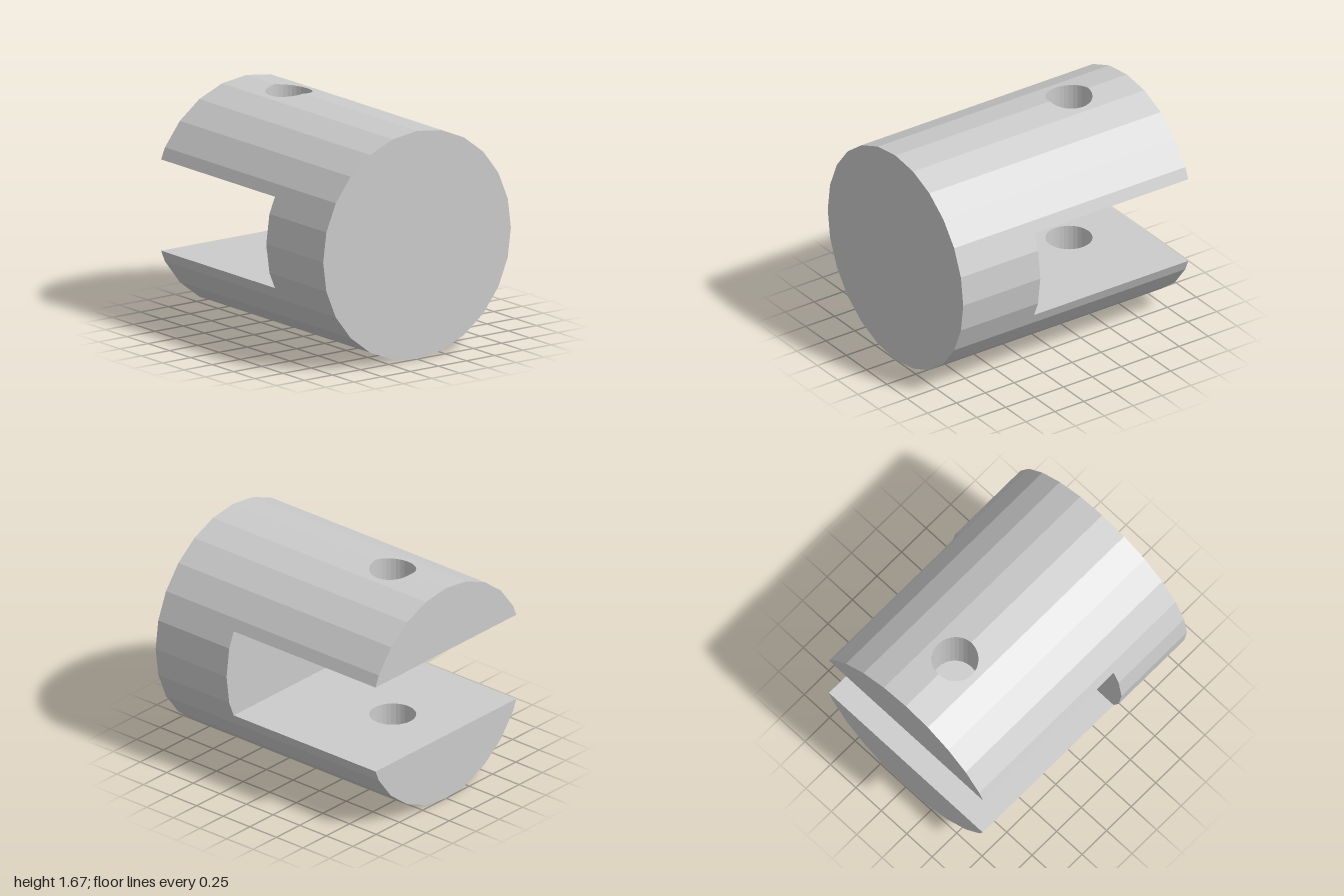
import * as THREE from 'three';
import { mergeGeometries } from 'three/addons/utils/BufferGeometryUtils.js';

const R = 5 / 6;         // radius of the 24-sided bar
const SIDES = 24;
const STEP = (Math.PI * 2) / SIDES;
const SLOT_X = 1 / 3;    // depth of the slot, measured from the tip at x = -1
const SLOT_H = 1 / 3;    // half height of the slot
const PIN_X = -0.5;      // centre of the pin hole
const PIN_R = 1 / 6;
const PIN_SEGMENTS = 32;

// Height of the faceted skin above the axis at a given z
function skinY(z) {
  const a = Math.abs(z);
  let k = 0;
  while (k < SIDES / 4 - 1 && R * Math.sin((k + 1) * STEP) < a) k++;
  const z0 = R * Math.sin(k * STEP), z1 = R * Math.sin((k + 1) * STEP);
  const t = (a - z0) / (z1 - z0);
  return R * THREE.MathUtils.lerp(Math.cos(k * STEP), Math.cos((k + 1) * STEP), t);
}

// Half width of the bar where the slot cuts its side facets
const lower = new THREE.Vector2(R * Math.cos(STEP), R * Math.sin(STEP));
const upper = new THREE.Vector2(R * Math.cos(2 * STEP), R * Math.sin(2 * STEP));
const EDGE_Z = lower.clone().lerp(upper, (SLOT_H - lower.y) / (upper.y - lower.y)).x;

// Move vertices vertically onto the skin
function liftToSkin(geometry, test = () => true) {
  const p = geometry.attributes.position;
  for (let i = 0; i < p.count; i++) {
    p.setY(i, test(p.getY(i)) ? skinY(p.getZ(i)) : SLOT_H);
  }
  geometry.computeVertexNormals();
  return geometry;
}

// One lengthwise facet of an arm; the two beside the crest are notched by the hole
function skinStrip(s0, s1) {
  const shape = new THREE.Shape();
  const crest = Math.min(Math.abs(s0), Math.abs(s1)) < 1e-6;
  const [inner, outer] = Math.abs(s0) < Math.abs(s1) ? [s0, s1] : [s1, s0];
  shape.moveTo(-1, inner);
  if (crest) {
    shape.lineTo(PIN_X - PIN_R, inner);
    if (outer > 0) shape.absarc(PIN_X, inner, PIN_R, Math.PI, 0, true);
    else shape.absarc(PIN_X, inner, PIN_R, Math.PI, Math.PI * 2, false);
  }
  shape.lineTo(SLOT_X, inner);
  shape.lineTo(SLOT_X, outer);
  shape.lineTo(-1, outer);
  return liftToSkin(new THREE.ShapeGeometry(shape, PIN_SEGMENTS / 4).rotateX(-Math.PI / 2));
}

// Flat cross-section wall facing the open tip
function tipFacing(points, x) {
  return new THREE.ShapeGeometry(new THREE.Shape(points)).rotateY(-Math.PI / 2).translate(x, 0, 0);
}

function armGeometry() {
  // Cross-section of the arm, as (z, y)
  const profile = [new THREE.Vector2(EDGE_Z, SLOT_H)];
  for (let k = 2; k <= SIDES / 2 - 2; k++) {
    profile.push(new THREE.Vector2(R * Math.cos(k * STEP), R * Math.sin(k * STEP)));
  }
  profile.push(new THREE.Vector2(-EDGE_Z, SLOT_H));

  const parts = [tipFacing(profile, -1)];
  for (let i = 0; i < profile.length - 1; i++) {
    parts.push(skinStrip(profile[i].x, profile[i + 1].x));
  }

  // Flat inner face with the full hole
  const face = new THREE.Shape([
    new THREE.Vector2(-1, -EDGE_Z), new THREE.Vector2(SLOT_X, -EDGE_Z),
    new THREE.Vector2(SLOT_X, EDGE_Z), new THREE.Vector2(-1, EDGE_Z),
  ]);
  face.holes.push(new THREE.Path().absarc(PIN_X, 0, PIN_R, 0, Math.PI * 2, true));
  parts.push(new THREE.ShapeGeometry(face, PIN_SEGMENTS / 2)
    .rotateX(Math.PI / 2).translate(0, SLOT_H, 0));

  // Hole wall, turned inside out and trimmed to the skin
  const wall = new THREE.CylinderGeometry(PIN_R, PIN_R, 1, PIN_SEGMENTS, 1, true);
  wall.scale(1, -1, 1).translate(PIN_X, 0, 0);
  parts.push(liftToSkin(wall, (y) => y > 0));
  return mergeGeometries(parts);
}

function solidEndGeometry() {
  const length = 1 - SLOT_X;
  const side = new THREE.CylinderGeometry(R, R, length, SIDES, 1, true)
    .rotateZ(Math.PI / 2).translate(SLOT_X + length / 2, 0, 0);
  const cap = new THREE.CircleGeometry(R, SIDES).rotateY(Math.PI / 2).translate(1, 0, 0);

  // Wall at the bottom of the slot
  const right = [
    new THREE.Vector2(EDGE_Z, -SLOT_H), new THREE.Vector2(lower.x, -lower.y),
    new THREE.Vector2(R, 0), lower, new THREE.Vector2(EDGE_Z, SLOT_H),
  ];
  const left = right.map((p) => new THREE.Vector2(-p.x, -p.y));
  return mergeGeometries([side, cap, tipFacing([...right, ...left], SLOT_X)]);
}

export function createModel() {
  const model = new THREE.Group();
  model.name = 'clevis';
  const material = new THREE.MeshStandardMaterial({ color: 0xcccccc, flatShading: true });

  const add = (name, geometry) => {
    const mesh = new THREE.Mesh(geometry, material);
    mesh.name = name;
    mesh.position.y = R;
    model.add(mesh);
    return mesh;
  };

  add('solidEnd', solidEndGeometry());
  const arm = armGeometry();
  add('upperArm', arm);
  add('lowerArm', arm).rotation.x = Math.PI;
  return model;
}
